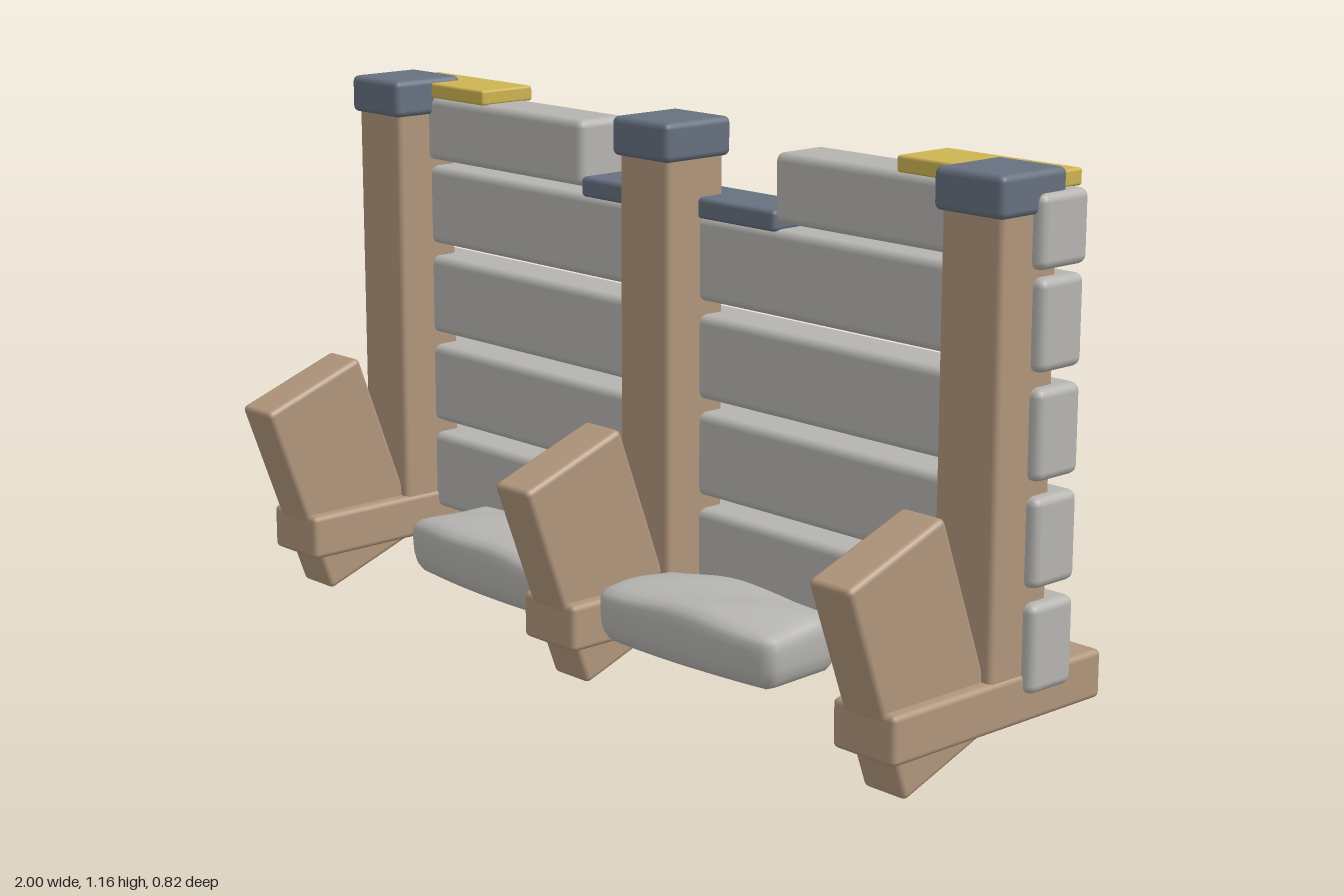
import * as THREE from 'three';
import { mergeVertices } from 'three/addons/utils/BufferGeometryUtils.js';
import { RoundedBoxGeometry } from 'three/addons/geometries/RoundedBoxGeometry.js';

const mat = (name, color) => {
  const m = new THREE.MeshStandardMaterial({ color });
  m.name = name;
  return m;
};

// Soft-edged box given by its [min, max] extents on each axis
function block(name, material, x, y, z, radius = 0.012) {
  const geo = new RoundedBoxGeometry(x[1] - x[0], y[1] - y[0], z[1] - z[0], 2, radius);
  const mesh = new THREE.Mesh(geo, material);
  mesh.position.set((x[0] + x[1]) / 2, (y[0] + y[1]) / 2, (z[0] + z[1]) / 2);
  mesh.name = name;
  return mesh;
}

// Filled sack: a rounded box that swells towards its middle and sags on top
function sackGeometry(length, height, depth, phase) {
  let geo = new THREE.BoxGeometry(length, height, depth, 18, 6, 10);
  geo.deleteAttribute('normal');
  geo.deleteAttribute('uv');
  geo = mergeVertices(geo);
  const half = new THREE.Vector3(length, height, depth).multiplyScalar(0.5);
  const r = 0.028;
  const core = half.clone().subScalar(r);
  const pos = geo.attributes.position;
  const p = new THREE.Vector3(), c = new THREE.Vector3();
  for (let i = 0; i < pos.count; i++) {
    p.fromBufferAttribute(pos, i);
    c.copy(p).clamp(core.clone().negate(), core);
    p.sub(c);
    if (p.lengthSq() > 0) p.setLength(r);
    p.add(c);
    const u = p.x / half.x, v = p.y / half.y, w = p.z / half.z;
    p.z *= 1 - 0.13 * u * u - (v < 0 ? 0.12 * v * v : 0);
    p.x *= 1 - (v < 0 ? 0.05 * v * v : 0);
    if (v > 0) p.y -= v * (0.018 * u * u + 0.008 * w * w + 0.004 * Math.sin(5 * u + 3 * w + phase));
    pos.setXYZ(i, p.x, p.y, p.z);
  }
  geo.computeVertexNormals();
  return geo;
}

export function createModel() {
  const model = new THREE.Group();
  model.name = 'barricade';
  const wood = mat('tan timber', 0xb0957b);
  const grey = mat('pale grey', 0xb5b4b0);
  const slate = mat('slate blue', 0x667080);
  const yellow = mat('muted yellow', 0xcdb352);

  // Three uprights, each with cap, foot and slanted brace
  for (const x of [-0.9, 0, 0.9]) {
    const support = new THREE.Group();
    support.name = 'support';
    support.position.x = x;
    support.add(block('post', wood, [-0.075, 0.075], [0.14, 1.1], [-0.113, 0.046]));
    support.add(block('postCap', slate, [-0.086, 0.086], [1.08, 1.163], [-0.125, 0.059], 0.014));
    support.add(block('foot', wood, [-0.08, 0.08], [0.09, 0.19], [-0.28, 0.313]));
    const brace = block('brace', wood, [-0.054, 0.054], [-0.235, 0.235], [-0.135, 0.135]);
    brace.position.set(0, 0.269, 0.204);
    brace.rotation.x = 0.349;
    support.add(brace);
    model.add(support);
  }

  // Full-length planks
  for (let i = 0; i < 4; i++) {
    const y = 0.15 + i * 0.21;
    model.add(block('plank', grey, [-1, 1], [y, y + 0.18], [-0.168, -0.045], 0.018));
  }

  // Short top planks with a yellow marker plate on each
  for (const s of [-1, 1]) {
    const span = (a, b) => (s > 0 ? [a, b] : [-b, -a]);
    model.add(block('topPlank', grey, span(0.295, 1), [0.975, 1.12], [-0.175, -0.04], 0.018));
    model.add(block('markerPlate', yellow, span(0.63, 0.97), [1.118, 1.152], [-0.185, -0.04], 0.006));
  }

  // Lintel lining the gap between the top planks
  model.add(block('gapSill', slate, [-0.297, 0.297], [0.955, 1.0], [-0.184, -0.04], 0.01));

  // Sacks along the base: two in front, three behind (x, z, turn)
  const sacks = [
    [-0.325, 0.139, -0.05], [0.325, 0.139, 0.05],
    [-0.575, -0.283, 0.04], [-0.065, -0.287, -0.04], [0.47, -0.281, 0.05],
  ];
  sacks.forEach(([x, z, turn], i) => {
    const sack = new THREE.Mesh(sackGeometry(0.49, 0.138, 0.244, i * 1.7), grey);
    sack.name = 'sandbag';
    sack.position.set(x, 0.174, z);
    sack.rotation.y = turn;
    model.add(sack);
  });

  return model;
}
